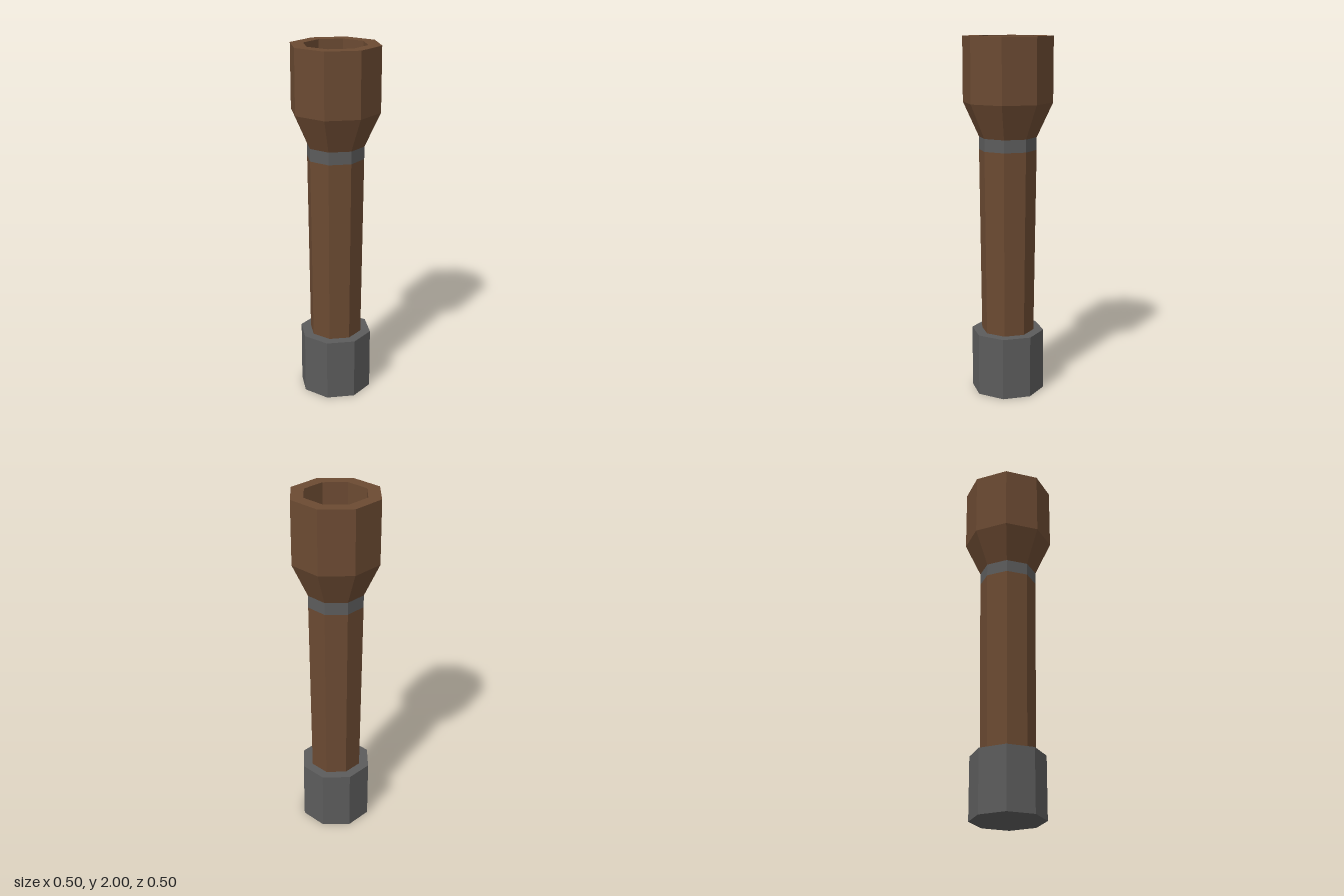
import * as THREE from 'three';

const SIDES = 8;

export function createModel() {
  const group = new THREE.Group();
  group.name = 'torch';

  const material = (color) => new THREE.MeshStandardMaterial({ color, flatShading: true });
  const wood = material(0x6b4a32);
  const metal = material(0x5c5c5c);
  const soot = material(0x0a0a0a);

  // Turns a [radius, height] outline, listed upwards on the outside, into an eight-sided part
  const turned = (name, mat, outline) => {
    const points = outline.map(([r, y]) => new THREE.Vector2(r, y));
    const mesh = new THREE.Mesh(new THREE.LatheGeometry(points, SIDES), mat);
    mesh.name = name;
    group.add(mesh);
  };

  // Closed metal foot
  turned('baseCap', metal, [[0, 0], [0.205, 0], [0.205, 0.35], [0, 0.35]]);

  // Slightly tapered handle
  turned('handle', wood, [[0.148, 0.35], [0.16, 1.385]]);

  // Metal band below the head
  turned('collar', metal, [[0.16, 1.385], [0.16, 1.455]]);

  // Flared head with a flat rim and a shallow cup
  turned('head', wood, [
    [0.16, 1.455], [0.248, 1.645], [0.248, 2], [0.175, 2], [0.175, 1.86],
  ]);

  // Dark floor of the cup
  turned('cupFloor', soot, [[0.175, 1.86], [0, 1.86]]);

  return group;
}
